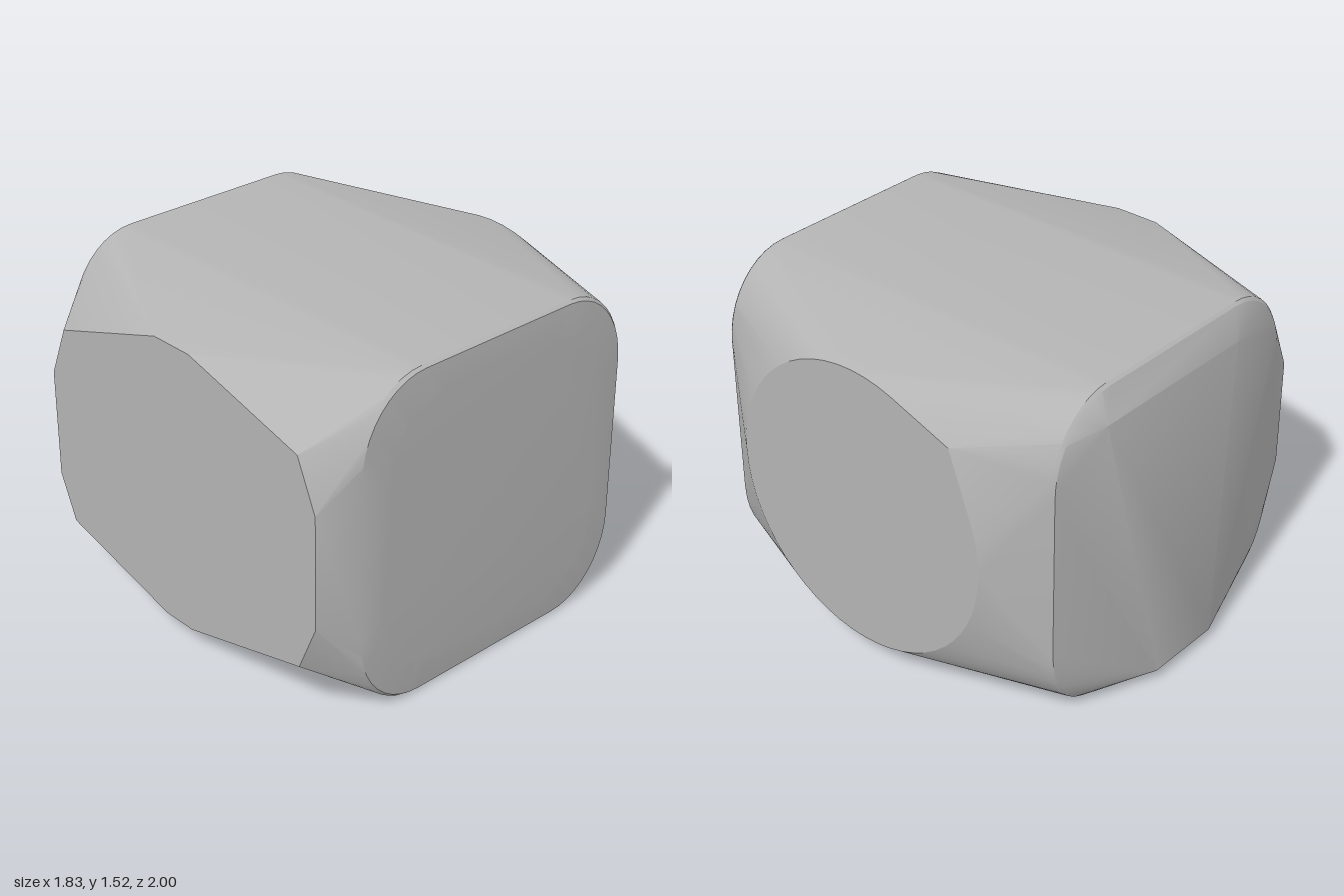
import * as THREE from 'three';
import { ConvexGeometry } from 'three/addons/geometries/ConvexGeometry.js';
import { toCreasedNormals } from 'three/addons/utils/BufferGeometryUtils.js';

const MID_Y = 0.76;

// Rounded square outline in the xy plane, with 2 * w by 2 * h extents
function roundedSquare(z, w, h, rx = 0.33, ry = 0.37, steps = 10) {
  const points = [];
  for (const sx of [-1, 1]) for (const sy of [-1, 1]) {
    for (let i = 0; i <= steps; i++) {
      const a = (i / steps) * Math.PI / 2;
      points.push(new THREE.Vector3(
        sx * (w - rx + rx * Math.cos(a)), MID_Y + sy * (h - ry + ry * Math.sin(a)), z));
    }
  }
  return points;
}

export function createModel() {
  const model = new THREE.Group();
  const stone = new THREE.MeshStandardMaterial({ color: 0xb4b4b4 });
  stone.name = 'plain grey';

  const points = [
    // slightly domed front face
    ...roundedSquare(0.997, 0.62, 0.63, 0.3, 0.33),
    ...roundedSquare(0.985, 0.74, 0.75),
    ...roundedSquare(0.97, 0.75, 0.76),
    // back face rim
    ...roundedSquare(-0.84, 0.75, 0.76),
    ...roundedSquare(-0.855, 0.74, 0.75),
  ];

  // Round flat on the +x side, with one raised corner towards the top back
  for (let i = 0; i < 56; i++) {
    const a = (i / 56) * Math.PI * 2;
    points.push(new THREE.Vector3(0.913, 0.765 + 0.675 * Math.sin(a), 0.065 + 0.675 * Math.cos(a)));
  }
  points.push(new THREE.Vector3(0.913, 1.295, -0.46));

  // Wide faceted flat on the -x side, as [z, y]
  const facet = [[-0.79, 0.98], [-0.69, 1.22], [-0.05, 1.43], [0.165, 1.43], [0.81, 1.25], [0.91, 1.02],
    [0.91, 0.5], [0.81, 0.27], [0.12, 0.09], [-0.05, 0.09], [-0.7, 0.26], [-0.79, 0.47]];
  for (const [z, y] of facet) points.push(new THREE.Vector3(-0.913, y, z));

  // Front corners next to the faceted flat
  for (const y of [0.25, 1.27]) points.push(new THREE.Vector3(-0.74, y, 0.95));

  // Sloping wedge on the back
  for (const [x, y, z] of [[-0.35, 1.39, -0.915], [0.5, 1.39, -0.915], [-0.15, 0.05, -1], [0.22, 0.05, -1]]) {
    points.push(new THREE.Vector3(x, y, z));
  }

  const body = new THREE.Mesh(toCreasedNormals(new ConvexGeometry(points), 0.4), stone);
  body.name = 'body';
  model.add(body);
  return model;
}
